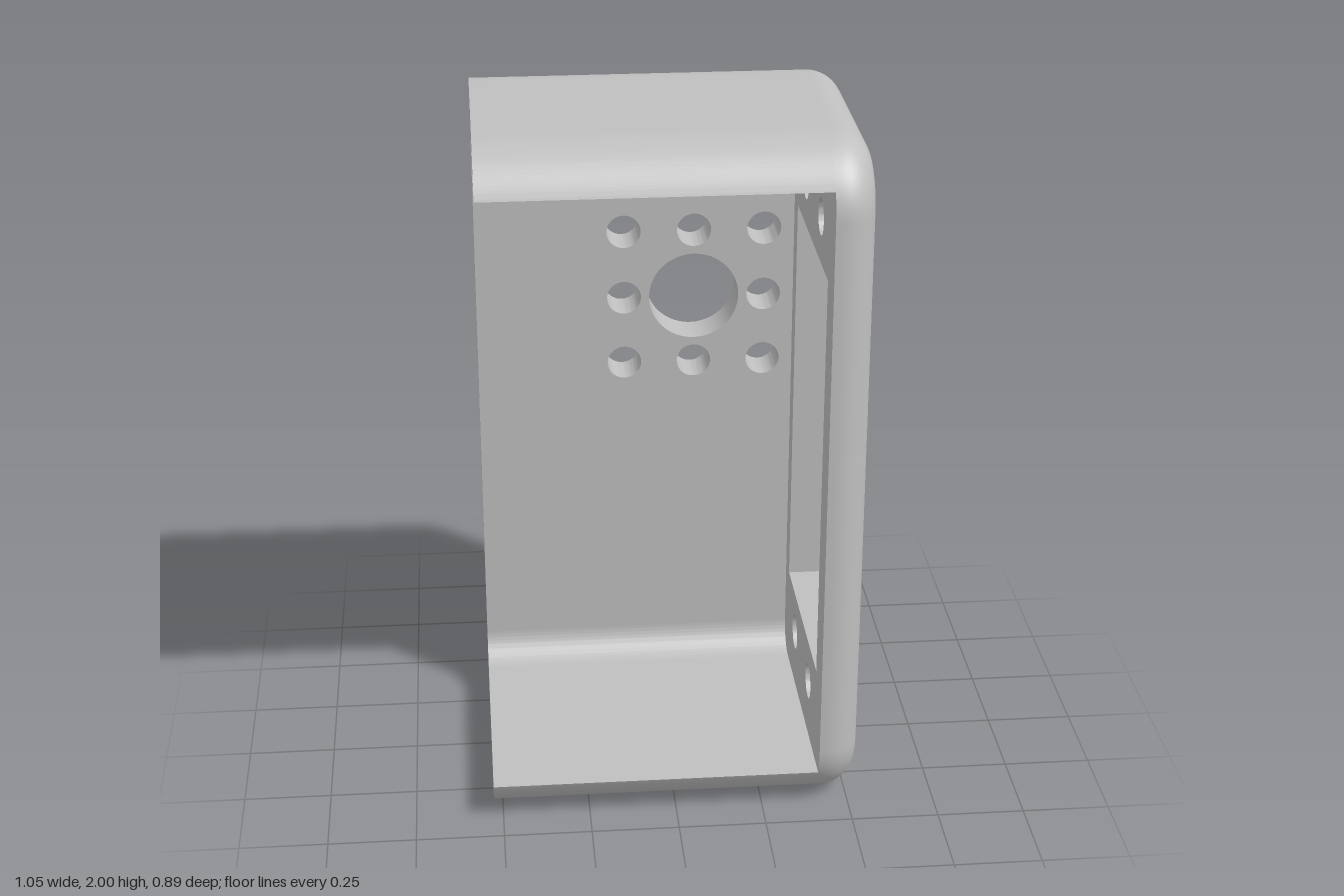
import * as THREE from 'three';
import { toCreasedNormals } from 'three/addons/utils/BufferGeometryUtils.js';

const L = 0.526;       // half length along x
const H = 0.447;       // half depth along z
const R = 0.2;         // outer corner radius
const T = 0.118;       // wall thickness
const F = 0.1;         // fillet on the end plate
const INNER = L - T;   // inner face of the end plate
const CREASE = 0.5;

function circleHole(x, y, r) {
  const p = new THREE.Path();
  p.absarc(x, y, r, 0, Math.PI * 2, true);
  return p;
}

// Profiles are drawn with u = -z and v = y, then swept along x.
function sweepX(shape, x0, x1) {
  const g = new THREE.ExtrudeGeometry(shape, { depth: x1 - x0, bevelEnabled: false, curveSegments: 24 });
  g.rotateY(Math.PI / 2);
  g.translate(x0, 0, 0);
  return toCreasedNormals(g, CREASE);
}

// Rounded rectangle outline, inset from the outer silhouette.
function outline(inset) {
  const pts = [], r = R - inset, n = 16;
  const corners = [[1, 1], [-1, 1], [-1, -1], [1, -1]];
  corners.forEach(([su, sv], k) => {
    for (let i = 0; i <= n; i++) {
      const a = (k + i / n) * Math.PI / 2;
      pts.push(new THREE.Vector2(su * (H - R) + r * Math.cos(a), 1 + sv * (1 - R) + r * Math.sin(a)));
    }
  });
  return pts;
}

// Loft between outlines given as [inset, x] steps.
function loft(steps) {
  const pos = [], idx = [];
  const loops = steps.map(([inset]) => outline(inset));
  const n = loops[0].length;
  loops.forEach((loop, j) => loop.forEach(p => pos.push(steps[j][1], p.y, -p.x)));
  for (let j = 0; j < steps.length - 1; j++) {
    for (let i = 0; i < n; i++) {
      const a = j * n + i, b = j * n + (i + 1) % n;
      idx.push(a, b, b + n, a, b + n, a + n);
    }
  }
  const g = new THREE.BufferGeometry();
  g.setAttribute('position', new THREE.Float32BufferAttribute(pos, 3));
  g.setIndex(idx);
  return toCreasedNormals(g, CREASE);
}

export function createModel() {
  const group = new THREE.Group();
  const grey = new THREE.MeshStandardMaterial({ color: 0xbfbfbf });
  grey.name = 'plain grey';
  const add = (name, geometry) => {
    const mesh = new THREE.Mesh(geometry, grey);
    mesh.name = name;
    group.add(mesh);
  };

  // Back wall with a round opening and eight holes around it
  const back = new THREE.Shape();
  back.moveTo(-L, R).lineTo(INNER, R).lineTo(INNER, 2 - R).lineTo(-L, 2 - R).closePath();
  const cx = 0.114, cy = 1.304, pitch = 0.206;
  for (let i = -1; i <= 1; i++) {
    for (let j = -1; j <= 1; j++) {
      back.holes.push(circleHole(cx + i * pitch, cy + j * pitch, i || j ? 0.05 : 0.132));
    }
  }
  const backGeo = new THREE.ExtrudeGeometry(back, { depth: T, bevelEnabled: false, curveSegments: 24 });
  backGeo.translate(0, 0, -H);
  add('backWall', toCreasedNormals(backGeo, CREASE));

  // Top flange: rounded back corner, flat span, and curved front tip
  const c = H - R, top = new THREE.Shape();
  top.moveTo(H, 2 - R);
  top.absarc(c, 2 - R, R, 0, Math.PI / 2, false);
  top.absarc(-c, 2 - R, R, Math.PI / 2, Math.PI - Math.asin((R - T) / R), false);
  top.lineTo(c, 2 - T);
  top.absarc(c, 2 - R, R - T, Math.PI / 2, 0, true);
  top.closePath();
  add('topFlange', sweepX(top, -L, INNER));

  // Bottom flange mirrors the top
  const mirrored = top.getPoints(24).map(p => new THREE.Vector2(p.x, 2 - p.y));
  add('bottomFlange', sweepX(new THREE.Shape(mirrored), -L, INNER));

  // End plate with a rectangular window and four screw holes
  const plate = new THREE.Shape(outline(F));
  const win = new THREE.Path();
  win.moveTo(-0.338, 0.402).lineTo(-0.338, 1.602).lineTo(0.263, 1.602).lineTo(0.263, 0.402).closePath();
  plate.holes.push(win);
  for (const z of [0.185, -0.107]) {
    for (const y of [0.28, 1.728]) plate.holes.push(circleHole(-z, y, 0.052));
  }
  add('endPlate', sweepX(plate, INNER, L));

  // Filleted rim around the end plate
  const steps = [[F, INNER], [0, INNER]];
  for (let i = 0; i <= 12; i++) {
    const a = (i / 12) * Math.PI / 2;
    steps.push([F * (1 - Math.cos(a)), L - F + F * Math.sin(a)]);
  }
  add('endPlateRim', loft(steps));

  return group;
}
